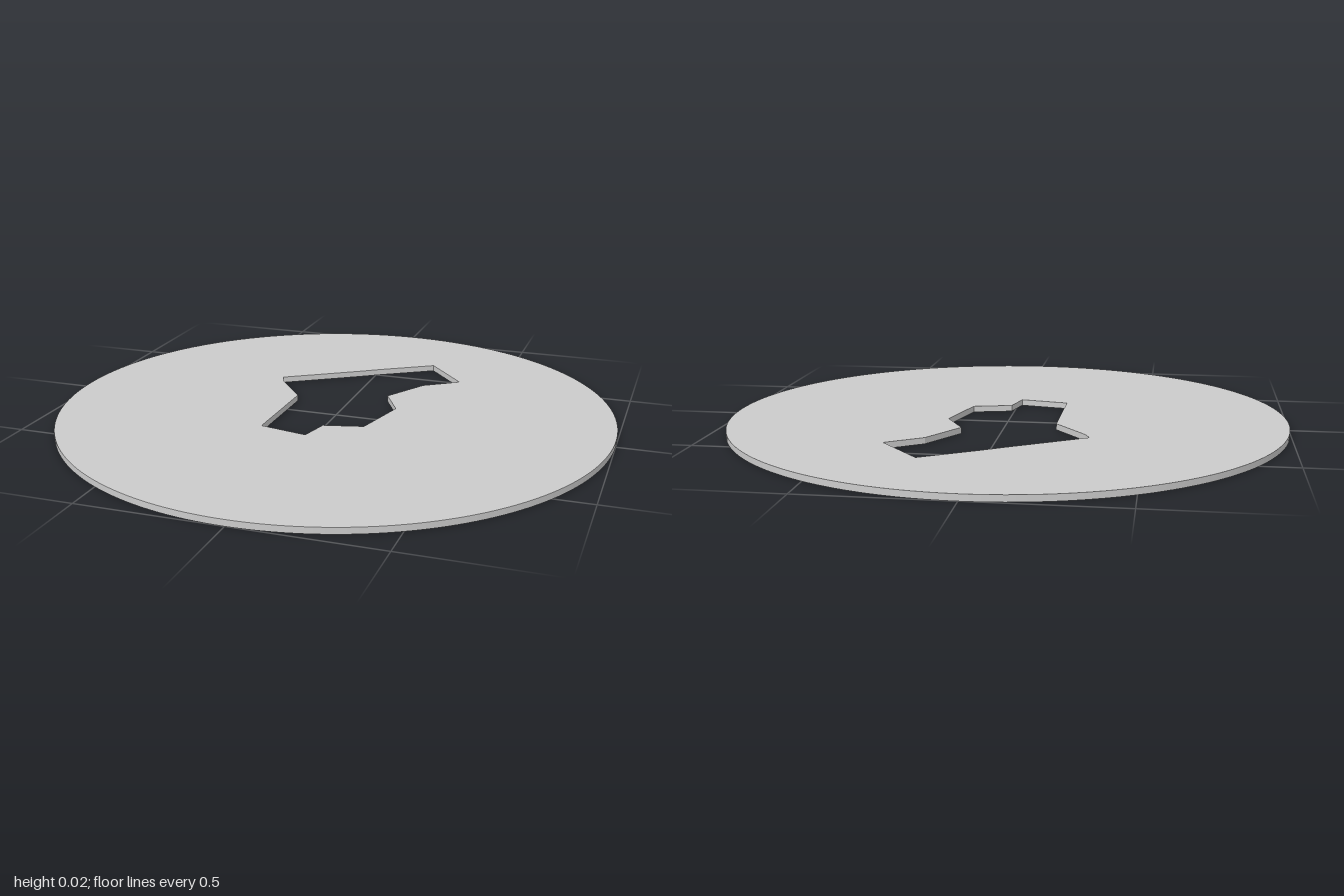
import * as THREE from 'three';

export function createModel() {
  const model = new THREE.Group();
  const thickness = 0.022;

  // Round outline of the plate
  const outline = new THREE.Shape();
  outline.absarc(0, 0, 1, 0, Math.PI * 2, false);

  // Irregular cutout, as [x, z] corners
  const corners = [
    [0.205, -0.627], [0.353, -0.453], [0.23, -0.368], [0.135, -0.205],
    [0.204, -0.077], [0.15, 0.138], [0.01, 0.173], [-0.016, 0.281],
    [-0.192, 0.245], [-0.187, -0.103], [-0.302, -0.25], [-0.318, -0.29],
    [-0.06, -0.456], [0.016, -0.508],
  ];
  outline.holes.push(new THREE.Path(corners.map(([x, z]) => new THREE.Vector2(x, -z))));

  // Flat plate lying on the ground
  const geometry = new THREE.ExtrudeGeometry(outline, {
    depth: thickness, bevelEnabled: false, curveSegments: 96,
  });
  geometry.rotateX(-Math.PI / 2);

  const plate = new THREE.Mesh(geometry, new THREE.MeshStandardMaterial({ color: 0xcccccc }));
  plate.name = 'discWithCutout';
  model.add(plate);
  return model;
}
